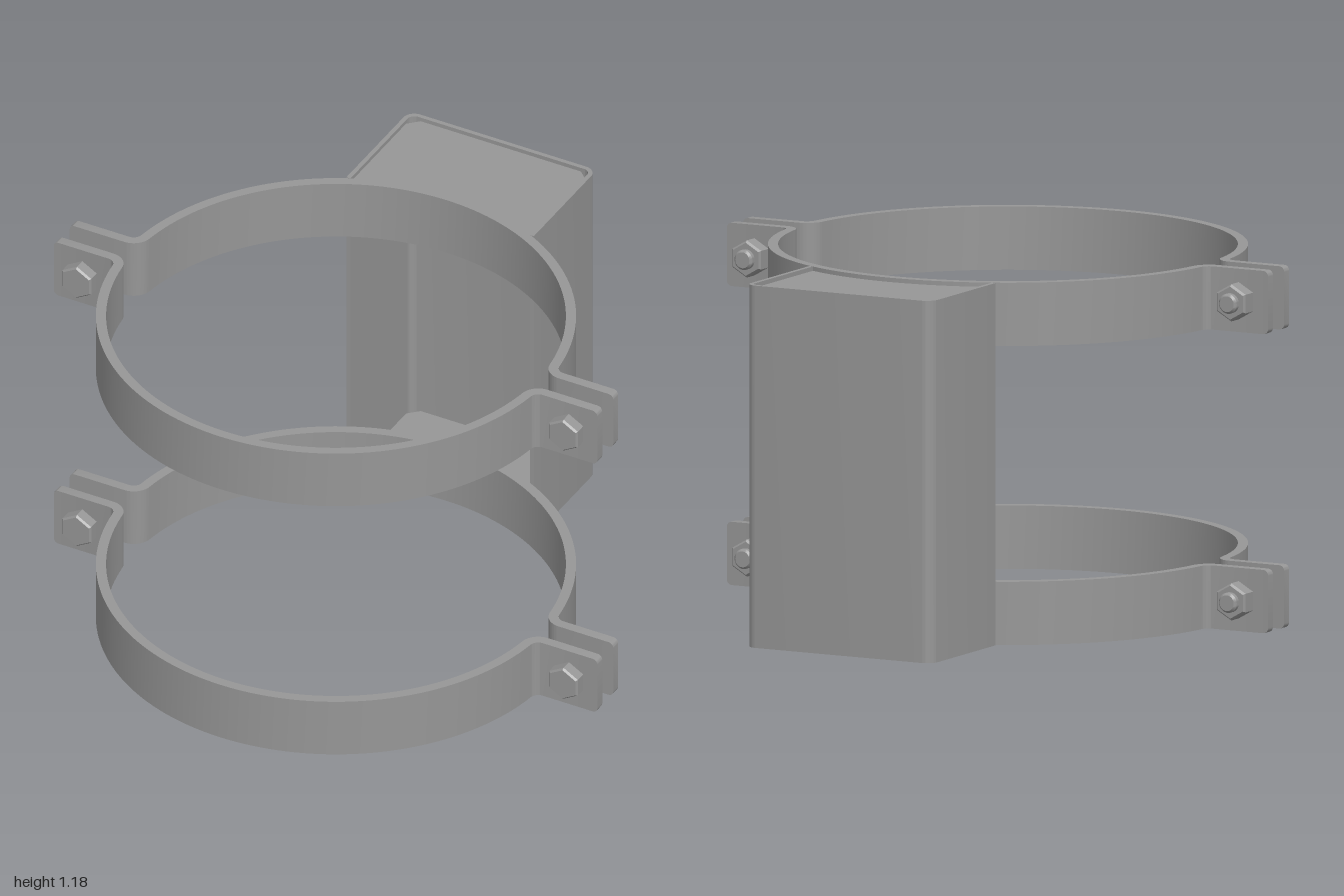
import * as THREE from 'three';
import { toCreasedNormals } from 'three/addons/utils/BufferGeometryUtils.js';

const H = 1.185, BAND_H = 0.207;          // overall height, band height
const R = 0.775, T = 0.033, CZ = 0.174;   // band outer radius, thickness, centre z
const HALF_GAP = 0.037, FILLET = 0.03;    // half gap between flanges, bend radius
const BACK = 0.95, BOX_X = 0.345, WALL = 0.015;

const steel = new THREE.MeshStandardMaterial({ color: 0x969696 });
const faceted = new THREE.MeshStandardMaterial({ color: 0x969696, flatShading: true });

function add(parent, name, geometry, material = steel) {
  const mesh = new THREE.Mesh(geometry, material);
  mesh.name = name;
  parent.add(mesh);
  return mesh;
}

// Extrudes a plan shape (x, -z) upward
function extrudeUp(shape, height, curveSegments) {
  const g = new THREE.ExtrudeGeometry(shape, { depth: height, bevelEnabled: false, curveSegments });
  return toCreasedNormals(g.rotateX(-Math.PI / 2), 0.5);
}

// Half ring bent outward into flanges with rounded corners, swept as one strip
function halfBandGeometry() {
  const fy = HALF_GAP + T + FILLET, d = R + FILLET, corner = 0.018;
  const fx = Math.sqrt(d * d - fy * fy), a = Math.asin(fy / d);
  const bend = FILLET + T / 2, mid = R - T / 2, quarter = Math.PI / 2;
  const stations = [];                    // x, v, normal x, normal v, height inset
  for (let i = 0; i <= 6; i++) {
    const t = (i / 6) * quarter;
    stations.push([1 - corner + corner * Math.cos(t), HALF_GAP + T / 2, 0, 1, corner * (1 - Math.sin(t))]);
  }
  for (let i = 0; i < 16; i++) {
    const t = -quarter - (i / 16) * (quarter - a), c = Math.cos(t), s = Math.sin(t);
    stations.push([fx + bend * c, fy + bend * s, -c, -s, 0]);
  }
  for (let i = 0; i <= 40; i++) {
    const t = a + (i / 40) * (quarter - a), c = Math.cos(t), s = Math.sin(t);
    stations.push([mid * c, mid * s, c, s, 0]);
  }
  // Mirror to the other side
  const mirrored = stations.slice(0, -1).reverse().map(([x, v, nx, nv, inset]) => [-x, v, -nx, nv, inset]);
  stations.push(...mirrored);

  const positions = [], index = [0, 1, 2, 0, 2, 3];
  stations.forEach(([x, v, nx, nv, inset], s) => {
    for (const [side, y] of [[1, inset], [1, BAND_H - inset], [-1, BAND_H - inset], [-1, inset]]) {
      positions.push(x + side * nx * T / 2, y, -(v + side * nv * T / 2));
    }
    if (s === stations.length - 1) return;
    for (let j = 0; j < 4; j++) {
      const p = s * 4 + j, q = s * 4 + (j + 1) % 4;
      index.push(p, q + 4, q, p, p + 4, q + 4);
    }
  });
  const e = (stations.length - 1) * 4;
  index.push(e, e + 2, e + 1, e, e + 3, e + 2);

  const g = new THREE.BufferGeometry();
  g.setAttribute('position', new THREE.Float32BufferAttribute(positions, 3));
  g.setIndex(index);
  return toCreasedNormals(g, 0.5);
}

// Turned part along z, from [radius, z] pairs
function turned(points, segments) {
  const g = new THREE.LatheGeometry(points.map(([r, z]) => new THREE.Vector2(r, z)), segments);
  return g.rotateX(Math.PI / 2);
}

function makeBolt() {
  const bolt = new THREE.Group();
  bolt.name = 'bolt';
  add(bolt, 'boltHead', turned([[0, 0.24], [0.061, 0.24], [0.061, 0.28], [0.055, 0.287], [0, 0.287]], 6), faceted);
  add(bolt, 'nut', turned([[0, 0.041], [0.054, 0.041], [0.061, 0.049], [0.061, 0.098], [0.055, 0.106], [0, 0.106]], 6), faceted);
  const shank = turned([[0, 0.018], [0.026, 0.018], [0.033, 0.026], [0.033, 0.25]], 32);
  add(bolt, 'boltShank', toCreasedNormals(shank, 0.5));
  return bolt;
}

function makeClamp() {
  const clamp = new THREE.Group();
  clamp.name = 'clamp';
  for (const [name, turn] of [['backBand', 0], ['frontBand', Math.PI]]) {
    const band = add(clamp, name, halfBandGeometry());
    band.position.z = CZ;
    band.rotation.y = turn;
  }
  for (const side of [-1, 1]) {
    const bolt = makeBolt();
    bolt.position.set(side * 0.895, BAND_H / 2, 0);
    clamp.add(bolt);
  }
  return clamp;
}

// U-shaped channel open toward the bands
function channelGeometry() {
  const r = 0.04, ri = r - WALL, xi = BOX_X - WALL, front = 0.526, P = Math.PI;
  const c = BOX_X - r, v = BACK - r, s = new THREE.Shape();
  s.moveTo(BOX_X, front);
  s.lineTo(BOX_X, v);
  s.absarc(c, v, r, 0, P / 2, false);
  s.absarc(-c, v, r, P / 2, P, false);
  s.lineTo(-BOX_X, front);
  s.lineTo(-xi, front);
  s.absarc(-c, v, ri, P, P / 2, true);
  s.absarc(c, v, ri, P / 2, 0, true);
  s.lineTo(xi, front);
  s.closePath();
  return extrudeUp(s, H, 24);
}

// End plate: clipped back corners, front edge hugging the band
function endPlateGeometry() {
  const x = BOX_X - WALL, v = BACK - WALL, cut = 0.035;
  const a = Math.acos(x / R), s = new THREE.Shape();
  s.moveTo(x, v - cut);
  s.lineTo(x - cut, v);
  s.lineTo(-x + cut, v);
  s.lineTo(-x, v - cut);
  s.absarc(0, -CZ, R, Math.PI - a, a, true);
  s.closePath();
  return extrudeUp(s, WALL, 32);
}

export function createModel() {
  const model = new THREE.Group();
  model.name = 'pipeClampBracket';

  for (const y of [0, H - BAND_H]) {
    const clamp = makeClamp();
    clamp.position.y = y;
    model.add(clamp);
  }

  add(model, 'channel', channelGeometry());
  for (const y of [0.014, H - 0.014 - WALL]) add(model, 'endPlate', endPlateGeometry()).position.y = y;

  return model;
}
